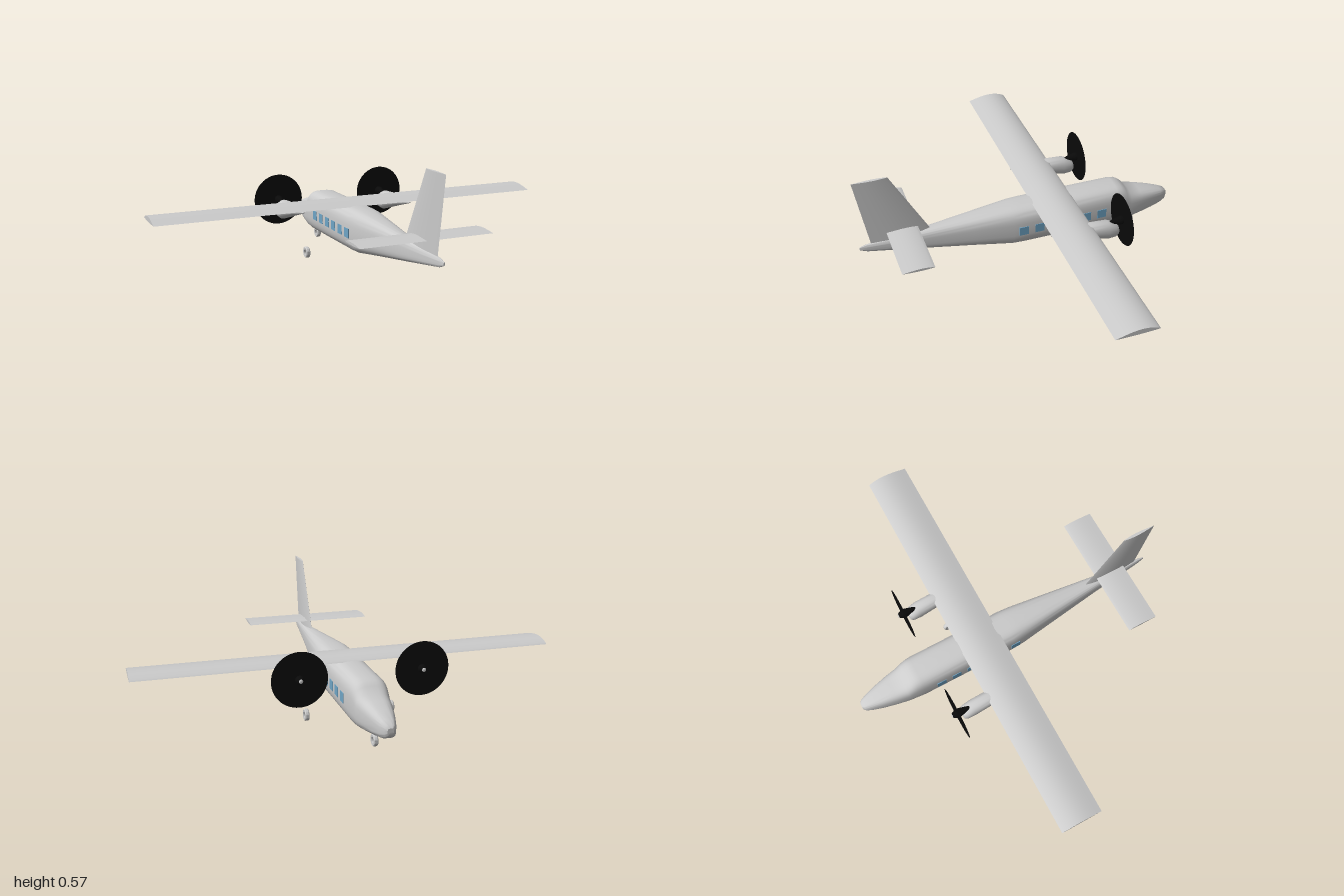
import * as THREE from 'three';
import { toCreasedNormals } from 'three/addons/utils/BufferGeometryUtils.js';

const material = (color) => new THREE.MeshStandardMaterial({ color, side: THREE.DoubleSide });
const grey = material(0xcccccc);
const black = material(0x0a0a0a);
const blue = material(0x6fa5c6);

function part(parent, name, geometry, mat = grey) {
  const mesh = new THREE.Mesh(geometry, mat);
  mesh.name = name;
  parent.add(mesh);
  return mesh;
}

// Skin closed cross-sections of equal length, closing both ends at their centres
function loft(rings, crease = 0.6) {
  const n = rings[0].length;
  const collapse = (ring) => {
    const c = ring.reduce((s, p) => s.add(p), new THREE.Vector3()).divideScalar(n);
    return ring.map(() => c);
  };
  const all = [collapse(rings[0]), ...rings, collapse(rings[rings.length - 1])];
  const index = [];
  for (let i = 0; i < all.length - 1; i++) {
    for (let j = 0; j < n; j++) {
      const a = i * n + j, b = i * n + (j + 1) % n;
      if (i > 0) index.push(a, b, a + n);
      if (i < all.length - 2) index.push(b, b + n, a + n);
    }
  }
  const geometry = new THREE.BufferGeometry().setFromPoints(all.flat());
  geometry.setIndex(index);
  return toCreasedNormals(geometry, crease);
}

// Rounded-box section across z: [z, bottom, top, halfWidth]
function bodyRing([z, bottom, top, halfWidth], power, sides = 40) {
  const round = (v) => Math.sign(v) * Math.abs(v) ** (2 / power);
  return Array.from({ length: sides }, (_, i) => {
    const a = (i / sides) * Math.PI * 2;
    return new THREE.Vector3(
      halfWidth * round(Math.cos(a)),
      (top + bottom) / 2 + ((top - bottom) / 2) * round(Math.sin(a)), z);
  });
}

// Aerofoil outline as [z, height] pairs, from the leading edge over the upper side
function aerofoil(lead, trail, upper, lower, count = 32) {
  return Array.from({ length: count }, (_, i) => {
    const a = (i / count) * Math.PI * 2;
    const u = (1 - Math.cos(a)) / 2;
    const bulge = Math.sin(Math.PI * u ** 0.8);
    return [lead + (trail - lead) * u, bulge * (a < Math.PI ? upper : -lower)];
  });
}

// Straight horizontal surface spanning both sides
function plane(halfSpan, y, lead, trail, upper, lower) {
  return loft([-halfSpan, halfSpan].map((x) =>
    aerofoil(lead, trail, upper, lower).map(([z, h]) => new THREE.Vector3(x, y + h, z))));
}

function engine(side) {
  const group = new THREE.Group();
  group.name = side > 0 ? 'leftEngine' : 'rightEngine';
  group.position.x = side * 0.285;

  part(group, 'nacelle', loft([
    [-0.39, 0.2, 0.248, 0.026],
    [-0.375, 0.188, 0.262, 0.034],
    [-0.335, 0.184, 0.282, 0.037],
    [-0.25, 0.21, 0.287, 0.036],
    [-0.15, 0.24, 0.283, 0.026],
    [-0.05, 0.269, 0.274, 0.004],
  ].map((r) => bodyRing(r, 2.3, 28))));

  // Propeller blur disc and teardrop spinner
  const disc = part(group, 'propellerDisc', new THREE.CircleGeometry(0.128, 48), black);
  disc.position.set(0, 0.27, -0.413);
  const profile = [[0, 0.335], [0.01, 0.36], [0.021, 0.4], [0.02, 0.42], [0.012, 0.436], [0.009, 0.438]];
  const spinner = part(group, 'spinner', new THREE.LatheGeometry(
    profile.map(([r, z]) => new THREE.Vector2(r, z)), 24), black);
  spinner.rotation.x = -Math.PI / 2;
  spinner.position.y = 0.27;
  const tip = part(group, 'spinnerTip', new THREE.SphereGeometry(0.01, 16, 12));
  tip.scale.z = 0.5;
  tip.position.set(0, 0.27, -0.437);
  return group;
}

export function createModel() {
  const model = new THREE.Group();
  model.name = 'aeroplane';

  // Fuselage, nose to tail
  part(model, 'fuselage', loft([
    [-0.795, 0.13, 0.16, 0.014],
    [-0.785, 0.115, 0.172, 0.026],
    [-0.755, 0.102, 0.185, 0.038],
    [-0.7, 0.092, 0.202, 0.054],
    [-0.63, 0.082, 0.22, 0.07],
    [-0.57, 0.073, 0.233, 0.08],
    [-0.545, 0.069, 0.258, 0.083],
    [-0.52, 0.066, 0.275, 0.086],
    [-0.49, 0.066, 0.28, 0.089],
    [-0.25, 0.068, 0.28, 0.09],
    [0, 0.07, 0.28, 0.09],
    [0.06, 0.071, 0.279, 0.086],
    [0.25, 0.102, 0.262, 0.063],
    [0.5, 0.14, 0.239, 0.033],
    [0.76, 0.182, 0.221, 0.008],
    [0.795, 0.197, 0.211, 0.003],
  ].map((r) => bodyRing(r, 3.2))));

  // Flying surfaces
  part(model, 'wing', plane(1, 0.277, -0.255, -0.05, 0.023, 0.003));
  part(model, 'tailplane', plane(0.318, 0.271, 0.512, 0.663, 0.008, 0.004));
  part(model, 'fin', loft([
    [0.2, 0.432, 0.736, 0.014],
    [0.575, 0.63, 0.795, 0.007],
  ].map(([y, lead, trail, t]) =>
    aerofoil(lead, trail, t, t).map(([z, h]) => new THREE.Vector3(-h, y, z)))));

  for (const side of [-1, 1]) {
    model.add(engine(side));

    // Cabin windows
    for (let i = 0; i < 6; i++) {
      const pane = part(model, 'window', new THREE.BoxGeometry(0.008, 0.047, 0.047), blue);
      pane.position.set(side * 0.088, 0.168, 0.01 - i * 0.082);
    }
  }

  // Open-centred wheels: two main, one nose
  const tyre = [[0.014, -0.009], [0.025, -0.01], [0.028, -0.006], [0.028, 0.006], [0.025, 0.01], [0.014, 0.009], [0.014, -0.009]];
  const wheelShape = toCreasedNormals(new THREE.LatheGeometry(
    tyre.map(([r, x]) => new THREE.Vector2(r, x)), 28), 0.6);
  for (const [name, x, z] of [['leftWheel', 0.208, -0.22], ['rightWheel', -0.208, -0.22], ['noseWheel', 0, -0.592]]) {
    const wheel = part(model, name, wheelShape);
    wheel.rotation.z = Math.PI / 2;
    wheel.position.set(x, 0.028, z);
  }
  return model;
}
